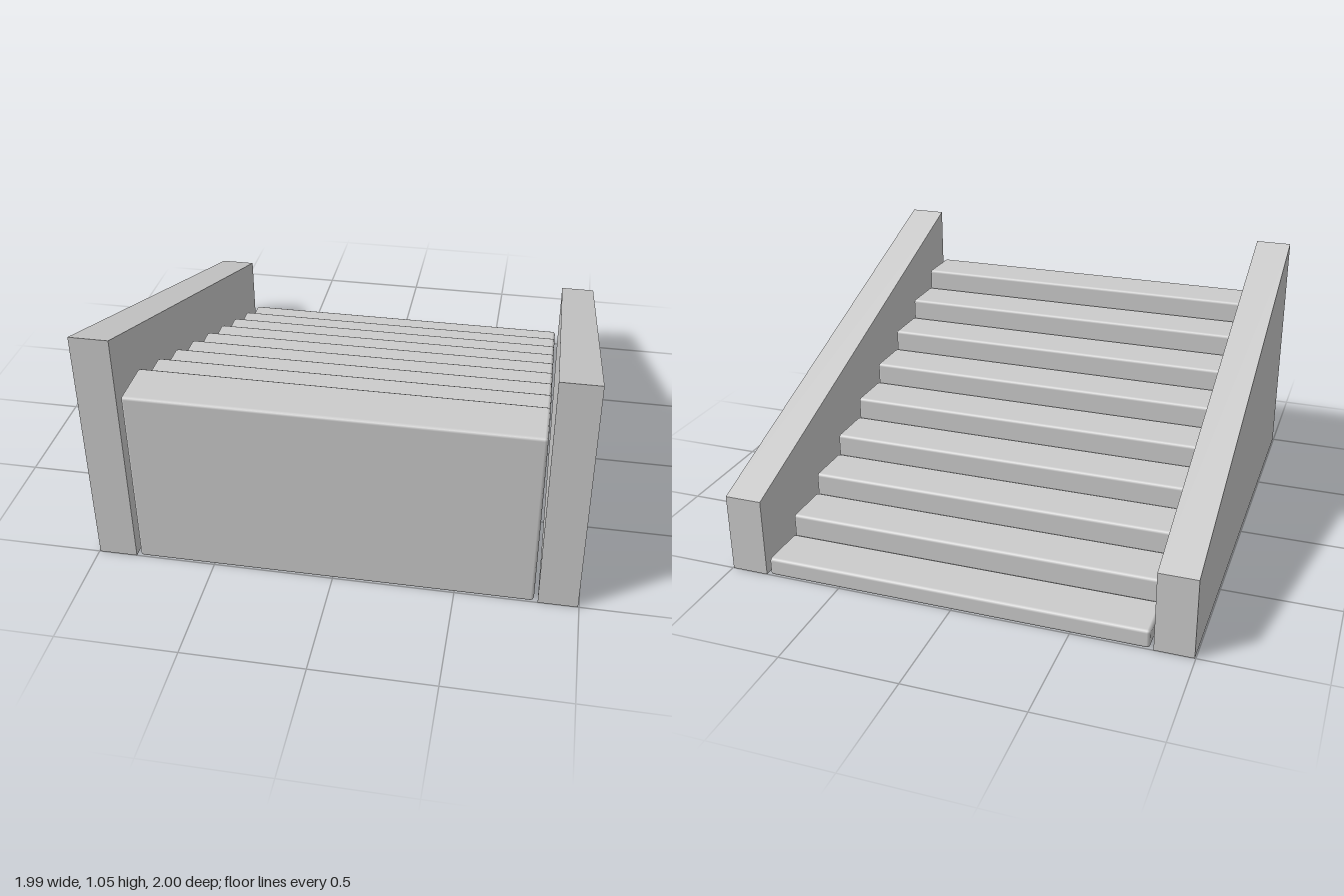
import * as THREE from 'three';
import { RoundedBoxGeometry } from 'three/addons/geometries/RoundedBoxGeometry.js';

const STEPS = 9;
const PITCH = 0.2225;
const STEP_DEPTH = 0.216;
const STEP_WIDTH = 1.64;
const WALL_WIDTH = 0.16;

export function createModel() {
  const model = new THREE.Group();
  model.name = 'staircase';
  const material = new THREE.MeshStandardMaterial({ color: 0xcccccc });

  // Steps: solid blocks with softened edges, rising towards the front
  const steps = new THREE.Group();
  steps.name = 'steps';
  for (let i = 0; i < STEPS; i++) {
    const height = 0.08 + 0.09 * i;
    const step = new THREE.Mesh(
      new RoundedBoxGeometry(STEP_WIDTH, height, STEP_DEPTH, 1, 0.013), material);
    step.name = `step${i + 1}`;
    step.position.set(0, height / 2, (i - (STEPS - 1) / 2) * PITCH);
    steps.add(step);
  }
  model.add(steps);

  // Side walls: sloped profile drawn in (z, y), extruded across x
  const profile = new THREE.Shape([
    new THREE.Vector2(-1, 0),
    new THREE.Vector2(1, 0),
    new THREE.Vector2(1, 1.055),
    new THREE.Vector2(-1, 0.345),
  ]);
  const wallGeometry = new THREE.ExtrudeGeometry(profile, { depth: WALL_WIDTH, bevelEnabled: false });
  wallGeometry.translate(0, 0, -WALL_WIDTH / 2);
  wallGeometry.rotateY(-Math.PI / 2);
  for (const [name, side] of [['leftWall', 1], ['rightWall', -1]]) {
    const wall = new THREE.Mesh(wallGeometry, material);
    wall.name = name;
    wall.position.x = side * 0.916;
    model.add(wall);
  }

  return model;
}
